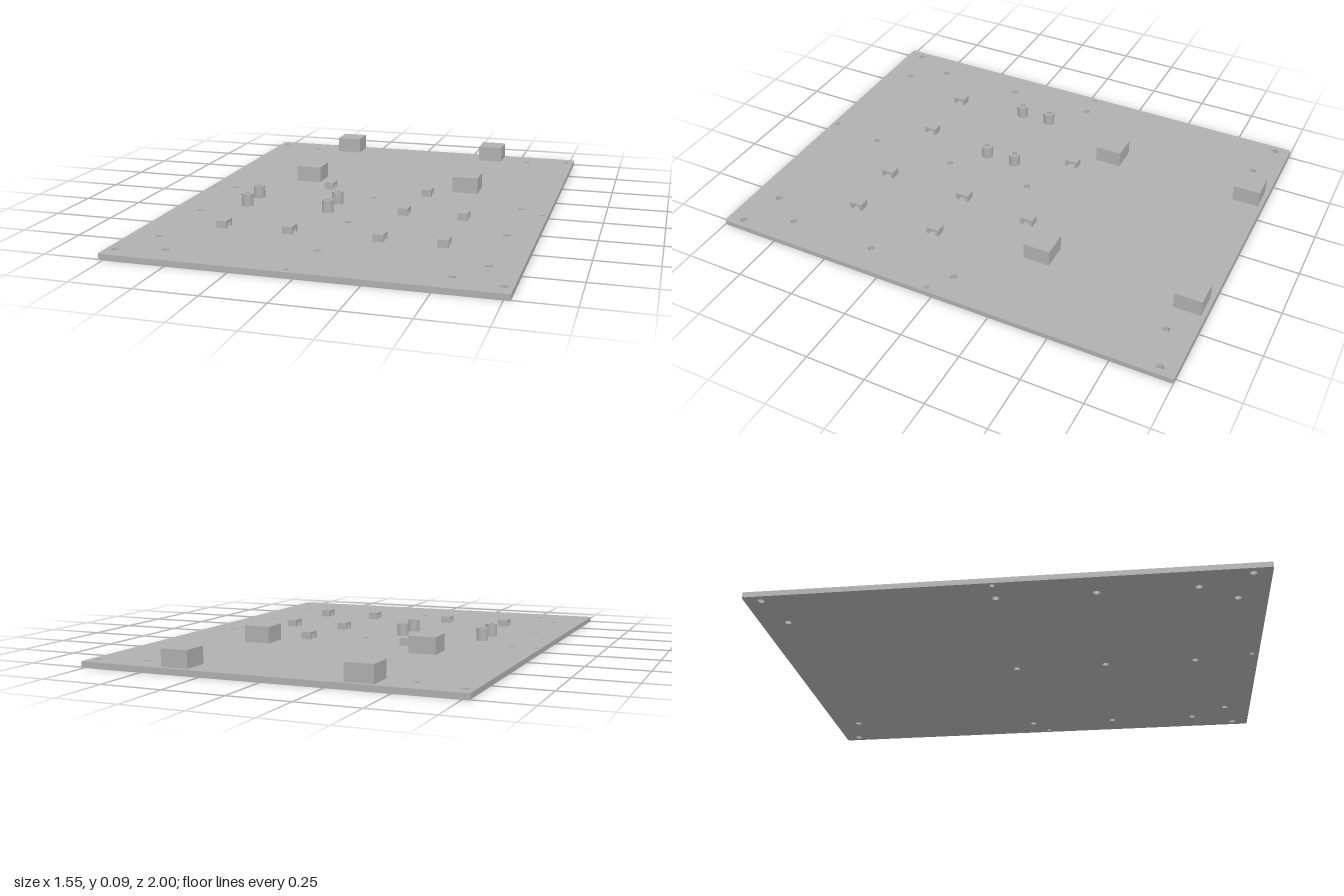
import * as THREE from 'three';

const T = 0.022; // plate thickness

export function createModel() {
  const model = new THREE.Group();
  const grey = new THREE.MeshStandardMaterial({ color: 0xb0b0b0 });
  grey.name = 'plain grey';

  const add = (name, geometry, x, y, z) => {
    const mesh = new THREE.Mesh(geometry, grey);
    mesh.name = name;
    mesh.position.set(x, y, z);
    model.add(mesh);
    return mesh;
  };

  // Base plate outline with small rounded corners
  const w = 0.775, d = 1, r = 0.01;
  const outline = new THREE.Shape();
  outline.moveTo(-w + r, -d);
  outline.absarc(w - r, -d + r, r, -Math.PI / 2, 0);
  outline.absarc(w - r, d - r, r, 0, Math.PI / 2);
  outline.absarc(-w + r, d - r, r, Math.PI / 2, Math.PI);
  outline.absarc(-w + r, -d + r, r, Math.PI, Math.PI * 1.5);
  outline.closePath();

  // Through holes: shape y is -z
  const drill = (x, z, radius) => {
    const hole = new THREE.Path();
    hole.absarc(x, -z, radius, 0, Math.PI * 2, true);
    outline.holes.push(hole);
  };
  for (const s of [-1, 1]) {
    drill(s * 0.738, -0.935, 0.014);
    drill(s * 0.738, 0.93, 0.014);
    drill(s * 0.55, -0.888, 0.014);
    drill(s * 0.55, 0.885, 0.014);
  }
  for (const x of [-0.654, 0, 0.652])
    for (const z of [-0.036, 0.35, 0.735]) drill(x, z, 0.014);
  for (const [x, z] of [[-0.755, -0.036], [0.752, 0.032], [-0.035, 0.972]]) drill(x, z, 0.01);

  const plate = add('basePlate',
    new THREE.ExtrudeGeometry(outline, { depth: T, bevelEnabled: false, curveSegments: 12 }), 0, 0, 0);
  plate.rotation.x = -Math.PI / 2;

  // Four large mounting blocks
  const block = new THREE.BoxGeometry(0.113, 0.07, 0.113);
  for (const x of [-0.371, 0.369])
    for (const z of [-0.925, -0.287]) add('mountingBlock', block, x, T + 0.035, z);

  // Four hollow standoffs
  const ring = new THREE.Shape();
  ring.absarc(0, 0, 0.025, 0, Math.PI * 2);
  const bore = new THREE.Path();
  bore.absarc(0, 0, 0.012, 0, Math.PI * 2, true);
  ring.holes.push(bore);
  const standoff = new THREE.ExtrudeGeometry(ring, { depth: 0.054, bevelEnabled: false, curveSegments: 24 });
  standoff.rotateX(-Math.PI / 2);
  for (const x of [-0.49, -0.127])
    for (const z of [0.088, 0.225]) add('standoff', standoff, x, T, z);

  // Cable bridges, open along x
  const arch = new THREE.Shape([
    [-0.029, 0], [-0.016, 0], [-0.016, 0.018], [0.016, 0.018],
    [0.016, 0], [0.029, 0], [0.029, 0.031], [-0.029, 0.031],
  ].map(([a, b]) => new THREE.Vector2(a, b)));
  const bridge = new THREE.ExtrudeGeometry(arch, { depth: 0.043, bevelEnabled: false });
  bridge.translate(0, 0, -0.0215);
  bridge.rotateY(Math.PI / 2);
  for (const [x, z] of [
    [-0.235, -0.15], [0.218, -0.15], [0.192, 0.17], [0.446, 0.17],
    [-0.46, 0.545], [-0.18, 0.545], [0.192, 0.545], [0.446, 0.545],
  ]) add('cableBridge', bridge, x, T, z);

  return model;
}
